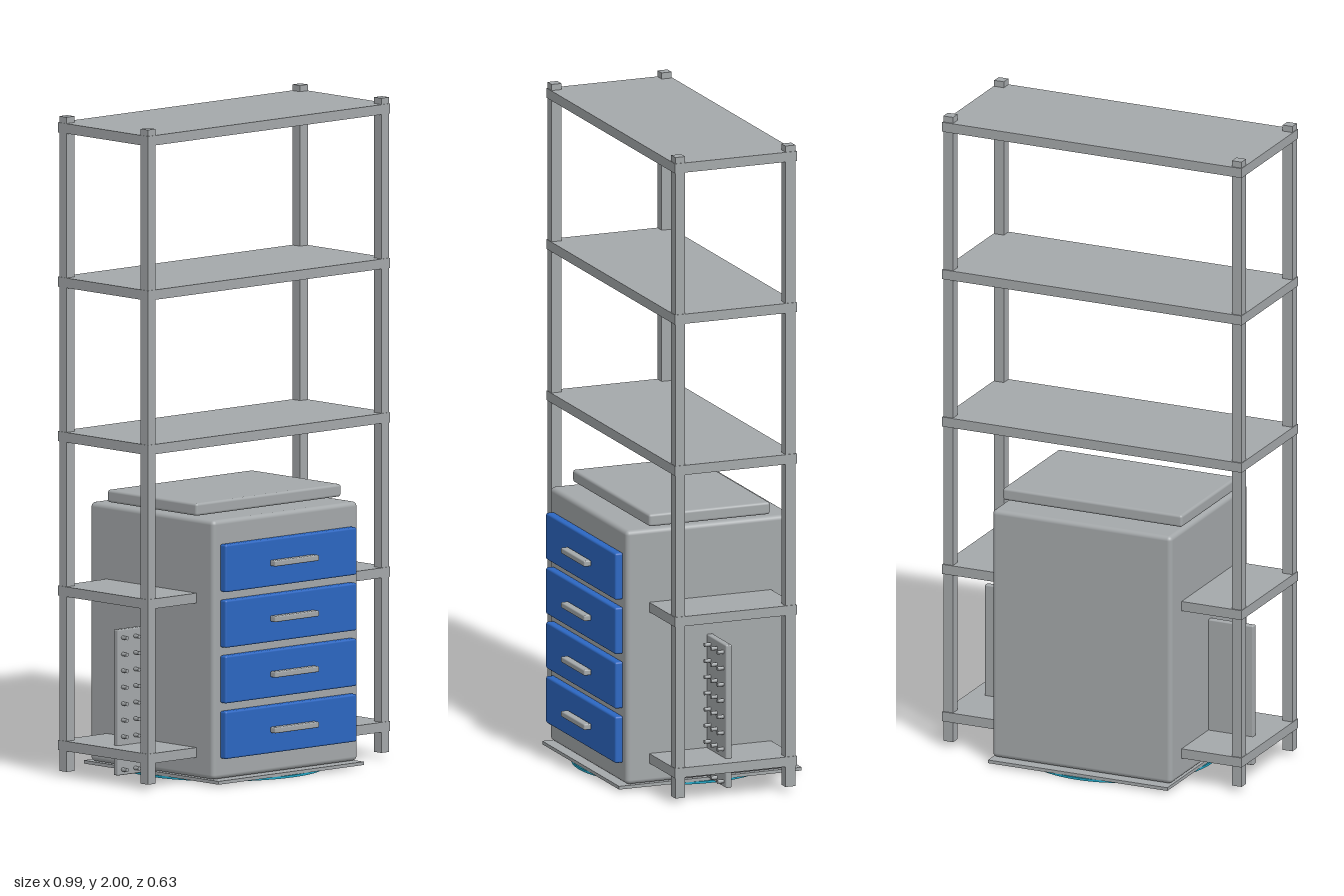
import * as THREE from 'three';
import { RoundedBoxGeometry } from 'three/addons/geometries/RoundedBoxGeometry.js';

function material(name, color) {
  const m = new THREE.MeshStandardMaterial({ color });
  m.name = name;
  return m;
}

export function createModel() {
  const grey = material('steel grey', 0xa4a8aa);
  const blue = material('drawer blue', 0x2c67c2);
  const cyan = material('ring cyan', 0x1fa5c4);
  const green = material('ring green', 0x1f9a70);
  const model = new THREE.Group();
  model.name = 'shelvedToolCabinet';

  const add = (name, geometry, mat, parent = model) => {
    const mesh = new THREE.Mesh(geometry, mat);
    mesh.name = name;
    parent.add(mesh);
    return mesh;
  };
  // Box given by its limits on each axis, optionally with rounded edges
  const box = (name, [x0, x1], [y0, y1], [z0, z1], mat, radius = 0, parent = model) => {
    const size = [x1 - x0, y1 - y0, z1 - z0];
    const geometry = radius
      ? new RoundedBoxGeometry(...size, 3, radius)
      : new THREE.BoxGeometry(...size);
    const mesh = add(name, geometry, mat, parent);
    mesh.position.set((x0 + x1) / 2, (y0 + y1) / 2, (z0 + z1) / 2);
    return mesh;
  };

  // Rack: four square posts and five shelves
  const rack = new THREE.Group();
  rack.name = 'rack';
  model.add(rack);
  for (const x of [-0.478, 0.478]) {
    for (const z of [0.169, -0.189]) {
      box('post', [x - 0.016, x + 0.016], [0.016, 2], [z - 0.016, z + 0.016], grey, 0, rack);
    }
  }
  for (let i = 0; i < 5; i++) {
    const y = 0.094 + i * 0.468;
    box('shelf', [-0.496, 0.496], [y - 0.015, y + 0.015], [-0.209, 0.187], grey, 0, rack);
  }

  // Cabinet body and its raised top slab
  box('cabinet', [-0.297, 0.297], [0.018, 0.803], [-0.283, 0.261], grey, 0.014);
  box('topSlab', [-0.297, 0.297], [0.81, 0.848], [-0.207, 0.187], grey, 0.008);

  // Drawers with bar handles
  for (let i = 0; i < 4; i++) {
    const y = 0.153 + i * 0.1685;
    const drawer = new THREE.Group();
    drawer.name = 'drawer';
    model.add(drawer);
    box('drawerFront', [-0.269, 0.269], [y - 0.072, y + 0.072], [0.259, 0.286], blue, 0.006, drawer);
    box('handle', [-0.09, 0.09], [y - 0.009, y + 0.009], [0.288, 0.312], grey, 0.004, drawer);
  }

  // Side boards with rows of small pegs
  const pegGeometry = new THREE.CylinderGeometry(0.006, 0.006, 0.02, 8).rotateX(Math.PI / 2);
  for (const side of [-1, 1]) {
    const board = new THREE.Group();
    board.name = side > 0 ? 'leftPegboard' : 'rightPegboard';
    model.add(board);
    box('board', [side * 0.37 - 0.075, side * 0.37 + 0.075], [0.018, 0.46], [-0.02, 0], grey, 0.004, board);
    for (let row = 0; row < 9; row++) {
      for (const x of [0.325, 0.375, 0.425]) {
        add('peg', pegGeometry, grey, board).position.set(side * x, 0.035 + row * 0.05, 0.01);
      }
    }
  }

  // Base plate with thin coloured rings underneath
  box('basePlate', [-0.297, 0.297], [0.007, 0.017], [-0.309, 0.285], grey);
  const ring = (name, outer, inner, mat, x = 0, z = 0) => {
    const shape = new THREE.Shape().absarc(0, 0, outer, 0, Math.PI * 2);
    shape.holes.push(new THREE.Path().absarc(0, 0, inner, 0, Math.PI * 2, true));
    const geometry = new THREE.ExtrudeGeometry(shape, {
      depth: 0.007, bevelEnabled: false, curveSegments: 48,
    }).rotateX(-Math.PI / 2);
    add(name, geometry, mat).position.set(x, 0, z - 0.012);
  };
  ring('outerRing', 0.303, 0.294, cyan);
  ring('middleRing', 0.262, 0.254, green);
  ring('innerRing', 0.06, 0.045, cyan);
  ring('hub', 0.04, 0.02, grey);
  for (let i = 0; i < 4; i++) {
    const a = Math.PI / 4 + i * Math.PI / 2;
    ring('footRing', 0.026, 0.02, green, 0.19 * Math.cos(a), 0.19 * Math.sin(a));
  }
  return model;
}
